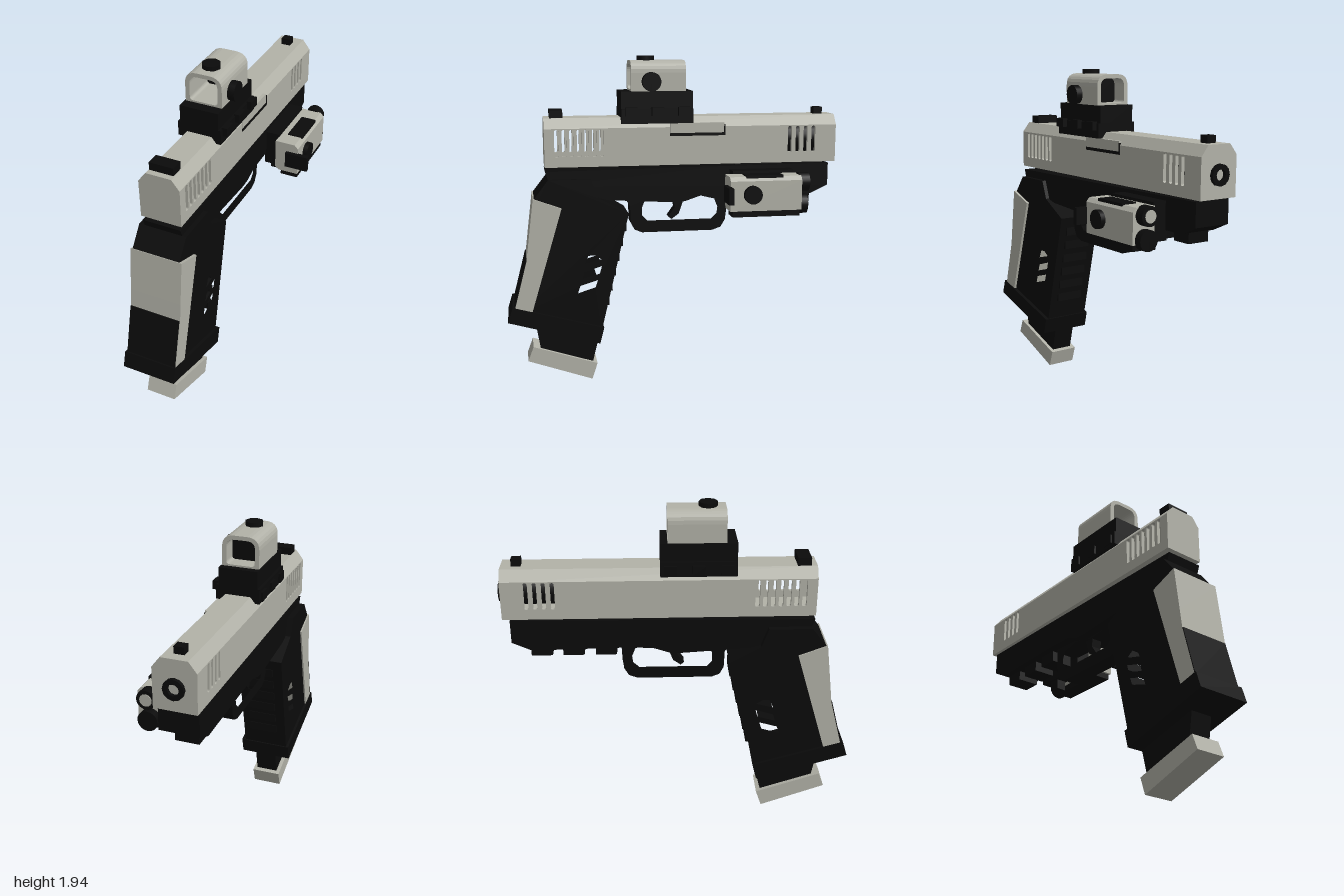
import * as THREE from 'three';

const CX = -0.123; // centre plane of the main body

export function createModel() {
  const model = new THREE.Group();
  const grey = new THREE.MeshStandardMaterial({ color: 0xb2b2a8 });
  grey.name = 'warm grey';
  const black = new THREE.MeshStandardMaterial({ color: 0x0b0b0b });
  black.name = 'black';

  const add = (name, geo, mat) => {
    const m = new THREE.Mesh(geo, mat);
    m.name = name;
    model.add(m);
  };
  const poly = (pts) => new THREE.Shape(pts.map((p) => new THREE.Vector2(...p)));
  const extrude = (shape, depth) =>
    new THREE.ExtrudeGeometry(shape, { depth, bevelEnabled: false, curveSegments: 6 });
  // box from its limits on each axis
  const box = (name, mat, [x0, x1], [y0, y1], [z0, z1]) => {
    const g = new THREE.BoxGeometry(x1 - x0, y1 - y0, z1 - z0);
    g.translate((x0 + x1) / 2, (y0 + y1) / 2, (z0 + z1) / 2);
    add(name, g, mat);
  };
  // side outline of [z, y] points, spread across x
  const side = (name, mat, outline, [x0, x1], holes = []) => {
    const s = poly(outline);
    s.holes.push(...holes);
    add(name, extrude(s, x1 - x0).rotateY(-Math.PI / 2).translate(x1, 0, 0), mat);
  };
  // cross-section in x and y, spread along z
  const section = (name, mat, shape, [z0, z1]) =>
    add(name, extrude(shape, z1 - z0).translate(0, 0, z0), mat);
  const cyl = (name, mat, r, len, axis, [x, y, z], sides = 20) => {
    const g = new THREE.CylinderGeometry(r, r, len, sides);
    if (axis === 'x') g.rotateZ(Math.PI / 2);
    if (axis === 'z') g.rotateX(Math.PI / 2);
    add(name, g.translate(x, y, z), mat);
  };
  const roundRect = (x0, x1, y0, y1, rTop, rBottom) => {
    const s = new THREE.Shape();
    s.moveTo(x0 + rBottom, y0);
    s.lineTo(x1 - rBottom, y0);
    s.quadraticCurveTo(x1, y0, x1, y0 + rBottom);
    s.lineTo(x1, y1 - rTop);
    s.quadraticCurveTo(x1, y1, x1 - rTop, y1);
    s.lineTo(x0 + rTop, y1);
    s.quadraticCurveTo(x0, y1, x0, y1 - rTop);
    s.lineTo(x0, y0 + rBottom);
    s.quadraticCurveTo(x0, y0, x0 + rBottom, y0);
    return s;
  };

  // Slide: hollow shell with slotted walls and a chamfered top
  const slots = () => {
    const list = [];
    for (let i = 0; i < 7; i++) list.push([0.69 - i * 0.0433, 0.013]);
    for (let i = 0; i < 4; i++) list.push([-0.695 - i * 0.0485, 0.012]);
    return list.map(([z, h]) => roundRect(z - h, z + h, 1.37, 1.526, 0.011, 0.011));
  };
  const wall = [[-0.98, 1.31], [0.76, 1.31], [0.76, 1.532], [-0.98, 1.532]];
  side('slideWallLeft', grey, wall, [-0.025, -0.005], slots());
  side('slideWallRight', grey, wall, [-0.243, -0.223], slots());
  section('slideTop', grey, poly([[-0.243, 1.532], [-0.005, 1.532], [-0.05, 1.59], [-0.197, 1.59]]), [-0.98, 0.76]);
  box('slideFloor', grey, [-0.225, -0.023], [1.31, 1.33], [-0.975, 0.755]);
  box('slideRearCap', grey, [-0.224, -0.024], [1.31, 1.533], [0.74, 0.76]);
  box('slideFrontCap', grey, [-0.224, -0.024], [1.31, 1.533], [-0.98, -0.95]);
  cyl('barrel', black, 0.088, 0.55, 'z', [CX, 1.448, -0.67]);
  const ring = new THREE.Shape();
  ring.absarc(CX, 1.435, 0.058, 0, Math.PI * 2);
  const bore = new THREE.Path();
  bore.absarc(CX, 1.435, 0.031, 0, Math.PI * 2);
  ring.holes.push(bore);
  section('muzzleRing', black, ring, [-1, -0.975]);

  // Ejection port
  box('portBlock', grey, [-0.065, -0.003], [1.495, 1.555], [-0.292, 0.03]);
  box('portLip', black, [-0.03, 0], [1.48, 1.497], [-0.295, 0.03]);
  box('portEnd', black, [-0.05, 0], [1.48, 1.545], [-0.299, -0.292]);

  // Iron sights
  box('rearSight', black, [-0.195, -0.055], [1.585, 1.635], [0.65, 0.725]);
  box('frontSight', black, [-0.152, -0.096], [1.585, 1.63], [-0.92, -0.867]);

  // Sight mount, stepped and clamped to the slide
  box('mountBase', black, [-0.25, 0.005], [1.555, 1.64], [-0.105, 0.315]);
  box('mountUpper', black, [-0.236, -0.01], [1.6, 1.74], [-0.105, 0.315]);
  for (const z of [-0.05, 0.105, 0.26]) {
    box('mountClampLeft', black, [0, 0.033], [1.6, 1.65], [z - 0.035, z + 0.035]);
    box('mountClampRight', black, [-0.262, -0.245], [1.565, 1.62], [z - 0.035, z + 0.035]);
  }

  // Optic housing with an open window and dark lens
  const housing = roundRect(-0.23, -0.015, 1.735, 1.915, 0.07, 0.005);
  housing.holes.push(roundRect(-0.205, -0.04, 1.75, 1.892, 0.045, 0.02));
  section('opticHousing', grey, housing, [-0.065, 0.255]);
  box('opticLens', black, [-0.21, -0.035], [1.74, 1.894], [0.03, 0.05]);
  cyl('opticTopKnob', black, 0.052, 0.04, 'y', [CX, 1.92, 0.157], 8);
  cyl('opticSideKnob', black, 0.055, 0.045, 'x', [0.002, 1.795, 0.14]);

  // Frame under the slide
  side('frame', black, [
    [0.76, 1.285], [0.73, 1.2], [0.4, 1.11], [0.0, 1.085], [-0.06, 1.09], [-0.15, 1.12],
    [-0.3, 1.125], [-0.83, 1.115], [-0.94, 1.165], [-0.94, 1.3], [-0.3, 1.295],
  ], [-0.235, -0.012]);
  box('slideRail', black, [-0.2, -0.045], [1.28, 1.312], [-0.93, -0.37]);
  for (const z of [-0.415, -0.6, -0.78]) {
    box('railTooth', black, [-0.19, -0.055], [1.06, 1.13], [z - 0.06, z + 0.06]);
  }

  // Trigger guard and trigger
  side('triggerGuard', black, [
    [0.3, 1.12], [0.262, 1.06], [0.258, 0.96], [0.235, 0.915], [0.19, 0.897], [-0.24, 0.897],
    [-0.29, 0.915], [-0.317, 0.96], [-0.325, 1.02], [-0.33, 1.13],
  ], [-0.175, -0.071], [poly([
    [0.17, 1.098], [0.19, 1.05], [0.19, 1.0], [0.16, 0.968], [-0.23, 0.968], [-0.265, 1.0],
    [-0.27, 1.04], [-0.25, 1.09], [-0.15, 1.115], [0.0, 1.08],
  ])]);
  side('trigger', black, [
    [0.0, 1.1], [-0.012, 1.04], [0.028, 0.985], [0.01, 0.968], [-0.035, 1.0], [-0.05, 1.04], [-0.068, 1.1],
  ], [-0.155, -0.091]);

  // Grip with slanted openings
  side('grip', black, [
    [0.745, 1.24], [0.83, 1.13], [0.82, 1.09], [0.93, 0.45], [0.45, 0.32], [0.28, 1.03], [0.46, 1.13], [0.5, 1.24],
  ], [-0.268, 0.012], [
    poly([[0.545, 0.735], [0.445, 0.762], [0.485, 0.788], [0.522, 0.785]]),
    poly([[0.56, 0.645], [0.455, 0.675], [0.443, 0.72], [0.547, 0.688]]),
    poly([[0.587, 0.56], [0.482, 0.592], [0.467, 0.636], [0.572, 0.605]]),
  ]);
  for (let i = 0; i < 6; i++) {
    const y = 0.94 - i * 0.09;
    const z = 0.28 + (1.03 - y) * 0.24;
    box('frontStrapRidge', black, [-0.21, -0.036], [y - 0.025, y + 0.025], [z - 0.012, z + 0.03]);
  }

  // Backstrap: grey, with a dark lower rear face
  side('backstrap', grey, [
    [0.835, 1.135], [0.672, 1.075], [0.86, 0.45], [0.957, 0.485], [0.882, 0.77], [0.868, 0.88],
  ], [-0.277, 0.028]);
  side('backstrapPanel', black, [
    [0.882, 0.77], [0.957, 0.485], [0.962, 0.485], [0.887, 0.77],
  ], [-0.277, 0.024]);

  // Flared well, magazine and its base
  side('magazineWell', black, [[0.972, 0.495], [1.0, 0.405], [0.462, 0.248], [0.437, 0.345]], [-0.284, 0.034]);
  side('magazine', black, [[0.845, 0.4], [0.81, 0.19], [0.505, 0.09], [0.452, 0.3]], [-0.19, -0.056]);
  side('magazineBase', grey, [[0.857, 0.225], [0.89, 0.138], [0.508, 0.002], [0.475, 0.1]], [-0.213, -0.035]);

  // Side-mounted light
  box('lightBracket', black, [-0.02, 0.07], [1.06, 1.275], [-0.7, -0.33]);
  for (const z of [-0.415, -0.6]) {
    box('bracketFoot', black, [0.0, 0.06], [1.0, 1.07], [z - 0.033, z + 0.033]);
  }
  const body = poly([[0.068, 1.08], [0.09, 1.06], [0.212, 1.06], [0.212, 1.235], [0.19, 1.258], [0.068, 1.258]]);
  section('lightBody', grey, body, [-0.71, -0.285]);
  box('lightTopPanel', black, [0.108, 0.2], [1.25, 1.266], [-0.6, -0.38]);
  box('lightUnderside', black, [0.1, 0.205], [1.025, 1.065], [-0.7, -0.3]);
  cyl('lightSideButton', black, 0.053, 0.04, 'x', [0.22, 1.157, -0.415]);
  box('lightLever', black, [0.14, 0.28], [1.11, 1.205], [-0.29, -0.262]);
  cyl('upperEmitter', black, 0.055, 0.06, 'z', [0.14, 1.215, -0.735]);
  cyl('upperLens', grey, 0.035, 0.006, 'z', [0.14, 1.215, -0.766]);
  cyl('lowerEmitter', black, 0.058, 0.05, 'z', [0.14, 1.085, -0.73]);

  return model;
}
